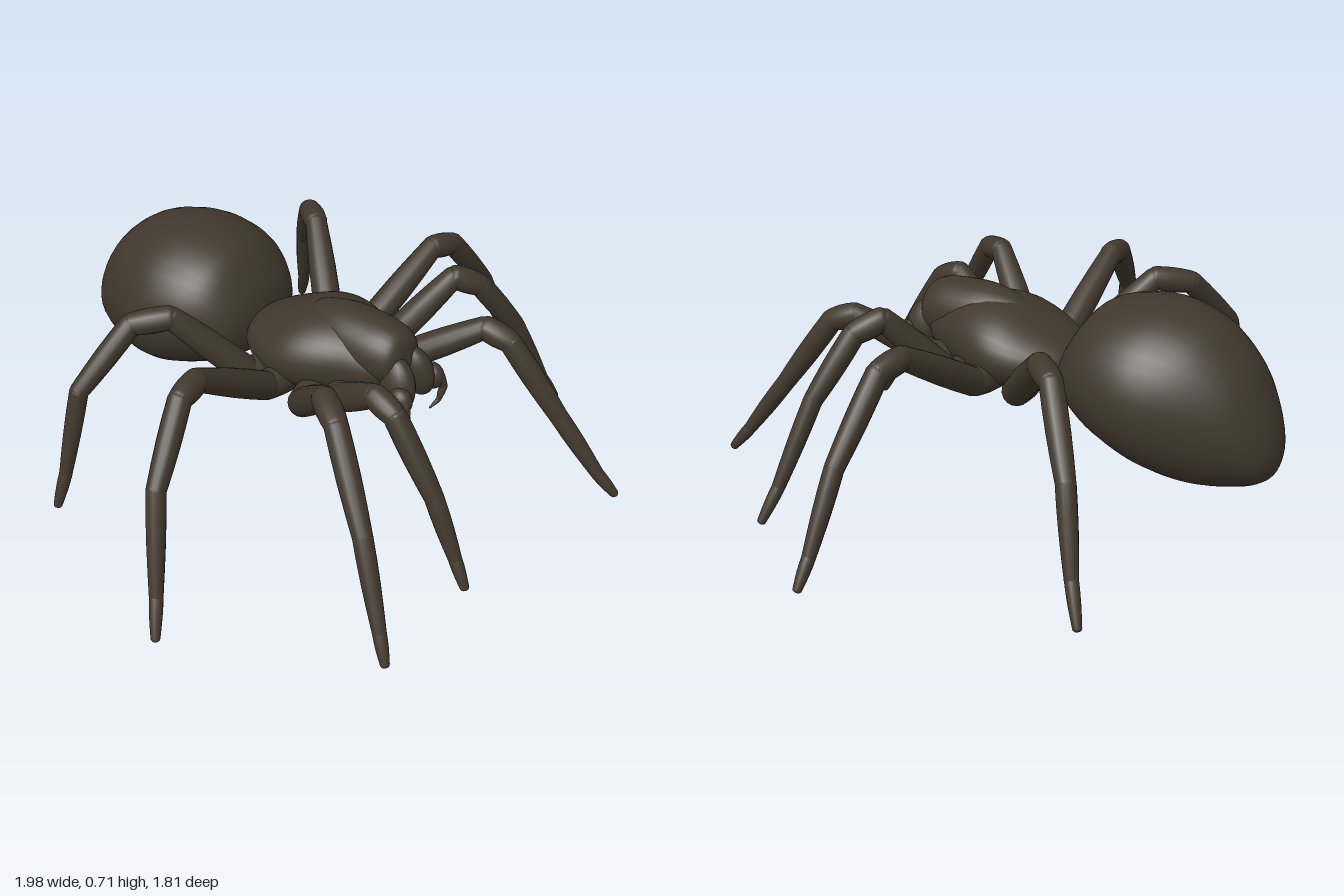
import * as THREE from 'three';

const V = (p) => new THREE.Vector3(...p);

// Smooth body lofted along z from sections [z, halfWidth, top, bottom], z ascending
function loft(sections, rings = 44, sides = 36) {
  const heights = new THREE.CatmullRomCurve3(sections.map((s) => V([s[0], s[2], s[3]])), false, 'catmullrom');
  const widths = new THREE.CatmullRomCurve3(sections.map((s) => V([s[0], s[1], 0])), false, 'catmullrom');
  const pos = [], index = [];
  for (let i = 0; i <= rings; i++) {
    const h = heights.getPoint(i / rings);
    const rx = Math.max(0, widths.getPoint(i / rings).y);
    const cy = (h.y + h.z) / 2, ry = (h.y - h.z) / 2;
    for (let j = 0; j < sides; j++) {
      const a = (j / sides) * Math.PI * 2;
      pos.push(rx * Math.cos(a), cy + ry * Math.sin(a), h.x);
      if (i === rings) continue;
      const k = (j + 1) % sides, p = i * sides, q = p + sides;
      index.push(p + j, p + k, q + j, p + k, q + k, q + j);
    }
  }
  const g = new THREE.BufferGeometry();
  g.setAttribute('position', new THREE.Float32BufferAttribute(pos, 3));
  g.setIndex(index);
  g.computeVertexNormals();
  return g;
}

// Tapered limb segment with rounded ends and a slight swelling
function segment(from, to, r0, r1) {
  const a = V(from), b = V(to), dir = b.clone().sub(a), len = dir.length();
  const pts = [];
  for (let i = 0; i <= 4; i++) {
    const t = (i / 4) * Math.PI / 2;
    pts.push(new THREE.Vector2(r0 * Math.sin(t), -r0 * 0.7 * Math.cos(t)));
  }
  for (const t of [0.25, 0.5, 0.75]) {
    pts.push(new THREE.Vector2((r0 + (r1 - r0) * t) * (1 + 0.1 * Math.sin(Math.PI * t)), len * t));
  }
  for (let i = 0; i <= 4; i++) {
    const t = (i / 4) * Math.PI / 2;
    pts.push(new THREE.Vector2(r1 * Math.cos(t), len + r1 * 0.7 * Math.sin(t)));
  }
  const g = new THREE.LatheGeometry(pts, 16);
  g.applyQuaternion(new THREE.Quaternion().setFromUnitVectors(new THREE.Vector3(0, 1, 0), dir.normalize()));
  g.translate(a.x, a.y, a.z);
  return g;
}

// Joints: trochanter, femur end, patella end, tibia end, metatarsus end, tip
const LEGS = {
  leftFirstLeg: [[.15, .42, .23], [.265, .55, .44], [.285, .52, .52], [.335, .28, .69], [.375, .09, .83], [.4, .02, .885]],
  leftSecondLeg: [[.21, .4, .12], [.37, .61, .25], [.435, .57, .31], [.56, .38, .38], [.68, .12, .435], [.74, .02, .46]],
  leftThirdLeg: [[.22, .4, .02], [.52, .58, .065], [.61, .56, .085], [.8, .33, .105], [.925, .1, .11], [.98, .02, .112]],
  leftFourthLeg: [[.21, .4, -.13], [.385, .6, -.32], [.45, .59, -.4], [.59, .37, -.535], [.67, .13, -.605], [.72, .02, -.655]],
  rightFirstLeg: [[-.16, .42, .2], [-.23, .55, .38], [-.24, .52, .46], [-.24, .29, .61], [-.245, .1, .7], [-.255, .02, .745]],
  rightSecondLeg: [[-.23, .4, .11], [-.38, .6, .31], [-.44, .58, .4], [-.55, .34, .58], [-.625, .1, .7], [-.65, .02, .74]],
  rightThirdLeg: [[-.23, .4, -.03], [-.54, .6, -.03], [-.63, .59, -.015], [-.81, .4, .045], [-.92, .12, .125], [-.975, .02, .165]],
  rightFourthLeg: [[-.21, .4, -.12], [-.37, .62, -.29], [-.45, .6, -.38], [-.63, .42, -.445], [-.7, .13, -.47], [-.74, .02, -.48]],
};
const PARTS = [['femur', .046, .036], ['patella', .038, .036], ['tibia', .036, .03], ['metatarsus', .03, .021], ['tarsus', .021, .014]];

export function createModel() {
  const model = new THREE.Group();
  model.name = 'spider';
  const brown = new THREE.MeshStandardMaterial({ color: 0x41382d });
  brown.name = 'darkBrown';
  const add = (name, geometry, parent = model) => {
    const mesh = new THREE.Mesh(geometry, brown);
    mesh.name = name;
    parent.add(mesh);
    return mesh;
  };

  // Egg-shaped abdomen drooping to the rear
  add('abdomen', loft([
    [-.91, 0, .305, .29], [-.897, .07, .375, .24], [-.86, .125, .475, .208], [-.8, .175, .58, .187],
    [-.7, .23, .667, .17], [-.6, .27, .705, .178], [-.505, .285, .715, .203], [-.4, .267, .7, .245],
    [-.32, .227, .665, .285], [-.26, .18, .59, .33], [-.23, .125, .53, .36], [-.212, 0, .44, .43],
  ]));

  // Thorax with the raised head on its front
  add('thorax', loft([
    [-.25, .05, .47, .41], [-.2, .125, .515, .37], [-.1, .185, .565, .345], [0, .203, .605, .33],
    [.1, .18, .612, .345], [.2, .13, .59, .37], [.28, .085, .55, .41], [.32, 0, .49, .48],
  ]));
  add('head', loft([
    [-.04, 0, .57, .56], [0, .06, .612, .5], [.1, .098, .635, .45], [.2, .105, .635, .43],
    [.28, .095, .625, .43], [.325, .07, .595, .45], [.345, 0, .53, .52],
  ], 30, 28));

  // Jaws, fangs and short feelers, mirrored
  for (const [side, s] of [['left', 1], ['right', -1]]) {
    const jaw = add(side + 'Jaw', new THREE.SphereGeometry(1, 20, 14));
    jaw.scale.set(.045, .09, .06);
    jaw.position.set(s * .048, .465, .335);
    jaw.rotation.set(-.25, 0, s * .15);
    const lobe = add(side + 'JawLobe', new THREE.SphereGeometry(1, 16, 12));
    lobe.scale.set(.033, .045, .042);
    lobe.position.set(s * .085, .44, .37);
    const bend = [[.09, .45, .39], [.1, .405, .405], [.085, .36, .4], [.06, .335, .385]];
    for (let i = 0; i < 3; i++) {
      const flip = (p) => [s * p[0], p[1], p[2]];
      add(side + 'Fang', segment(flip(bend[i]), flip(bend[i + 1]), .018 - i * .005, .013 - i * .005));
    }
    add(side + 'Feeler', segment([s * .05, .42, .22], [s * .06, .365, .29], .03, .024));
  }

  // Eight jointed legs, each with a hip under the thorax
  for (const [name, joints] of Object.entries(LEGS)) {
    const leg = new THREE.Group();
    leg.name = name;
    model.add(leg);
    const [x, , z] = joints[0];
    add('hip', segment([x * .4, .39, z * .75], joints[0], .048, .046), leg);
    PARTS.forEach(([part, r0, r1], i) => add(part, segment(joints[i], joints[i + 1], r0, r1), leg));
  }
  return model;
}
